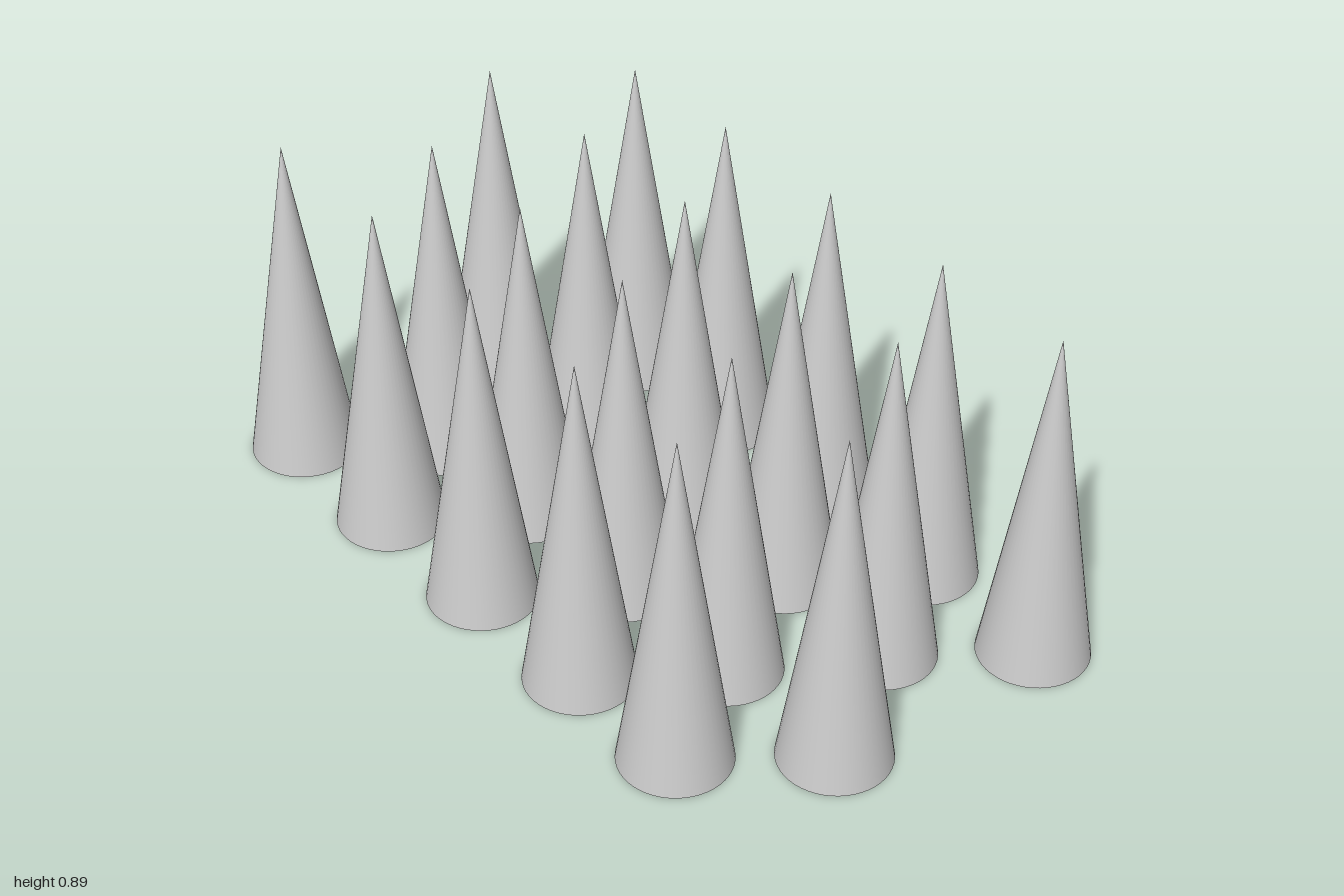
import * as THREE from 'three';

const RADIUS = 0.136;
const HEIGHT = 0.89;
const SPACING = 0.377;   // regular gap between cones in a row
const END_GAP = 0.346;   // tighter gap at one end of each row

export function createModel() {
  const group = new THREE.Group();
  group.name = 'coneField';
  const material = new THREE.MeshStandardMaterial({ color: 0xcccccc });
  const cone = new THREE.ConeGeometry(RADIUS, HEIGHT, 48);
  cone.translate(0, HEIGHT / 2, 0);

  // Staggered rows: outermost cone on the evenly spaced side, and depth
  const rows = [
    { name: 'outerRow', x: 0.864, z: 0.439 },
    { name: 'innerRow', x: -0.834, z: 0.157 },
  ];

  // Each row is repeated half a turn around the centre
  for (const { name, x, z } of rows) {
    for (const [place, side] of [['back', -1], ['front', 1]]) {
      const row = new THREE.Group();
      row.name = `${place}${name[0].toUpperCase()}${name.slice(1)}`;
      // On the back half the outer row starts at +x, the inner row at -x
      const start = -side * x;
      const step = -Math.sign(start);
      for (let i = 0; i < 5; i++) {
        const offset = i < 4 ? i * SPACING : 3 * SPACING + END_GAP;
        const mesh = new THREE.Mesh(cone, material);
        mesh.name = `cone${i + 1}`;
        mesh.position.set(start + step * offset, 0, side * z);
        row.add(mesh);
      }
      group.add(row);
    }
  }
  return group;
}
